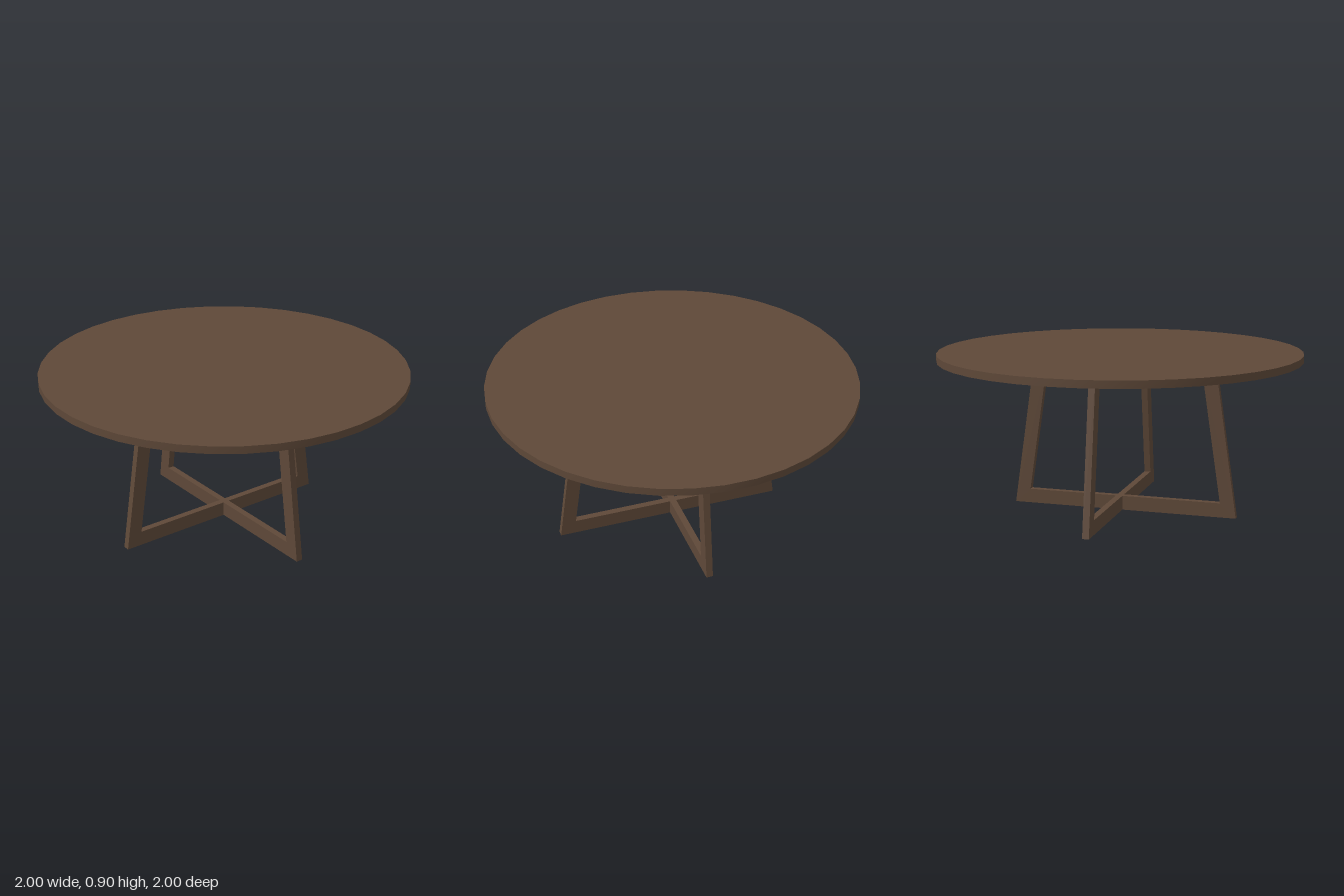
import * as THREE from 'three';
import { toCreasedNormals } from 'three/addons/utils/BufferGeometryUtils.js';

export function createModel() {
  const group = new THREE.Group();
  const wood = new THREE.MeshStandardMaterial({ color: 0x5e4838 });
  wood.name = 'brown wood';

  // Round top, turned so flats face the axes
  const sides = 40;
  const radius = 1 / Math.cos(Math.PI / sides);
  const disc = new THREE.CylinderGeometry(radius, radius, 0.04, sides);
  disc.rotateY(Math.PI / sides);
  const top = new THREE.Mesh(toCreasedNormals(disc, Math.PI / 6), wood);
  top.name = 'tableTop';
  top.position.y = 0.88;
  group.add(top);

  // Trapezoid leg frame with a trapezoid opening
  const trapezoid = (Type, bottom, upper, y0, y1) =>
    new Type([[-bottom, y0], [bottom, y0], [upper, y1], [-upper, y1]]
      .map(([x, y]) => new THREE.Vector2(x, y)));
  const outline = trapezoid(THREE.Shape, 0.645, 0.518, 0, 0.86);
  outline.holes.push(trapezoid(THREE.Path, 0.555, 0.447, 0.08, 0.8));
  const thickness = 0.037;
  const frameGeometry = new THREE.ExtrudeGeometry(outline, { depth: thickness, bevelEnabled: false });
  // Each frame sits slightly off centre along its own length
  frameGeometry.translate(0.0225, 0, -thickness / 2);

  // Two frames crossing at right angles
  [['legFrameAcross', 0], ['legFrameFrontToBack', -Math.PI / 2]].forEach(([name, turn]) => {
    const frame = new THREE.Mesh(frameGeometry, wood);
    frame.name = name;
    frame.rotation.y = turn;
    group.add(frame);
  });

  return group;
}
